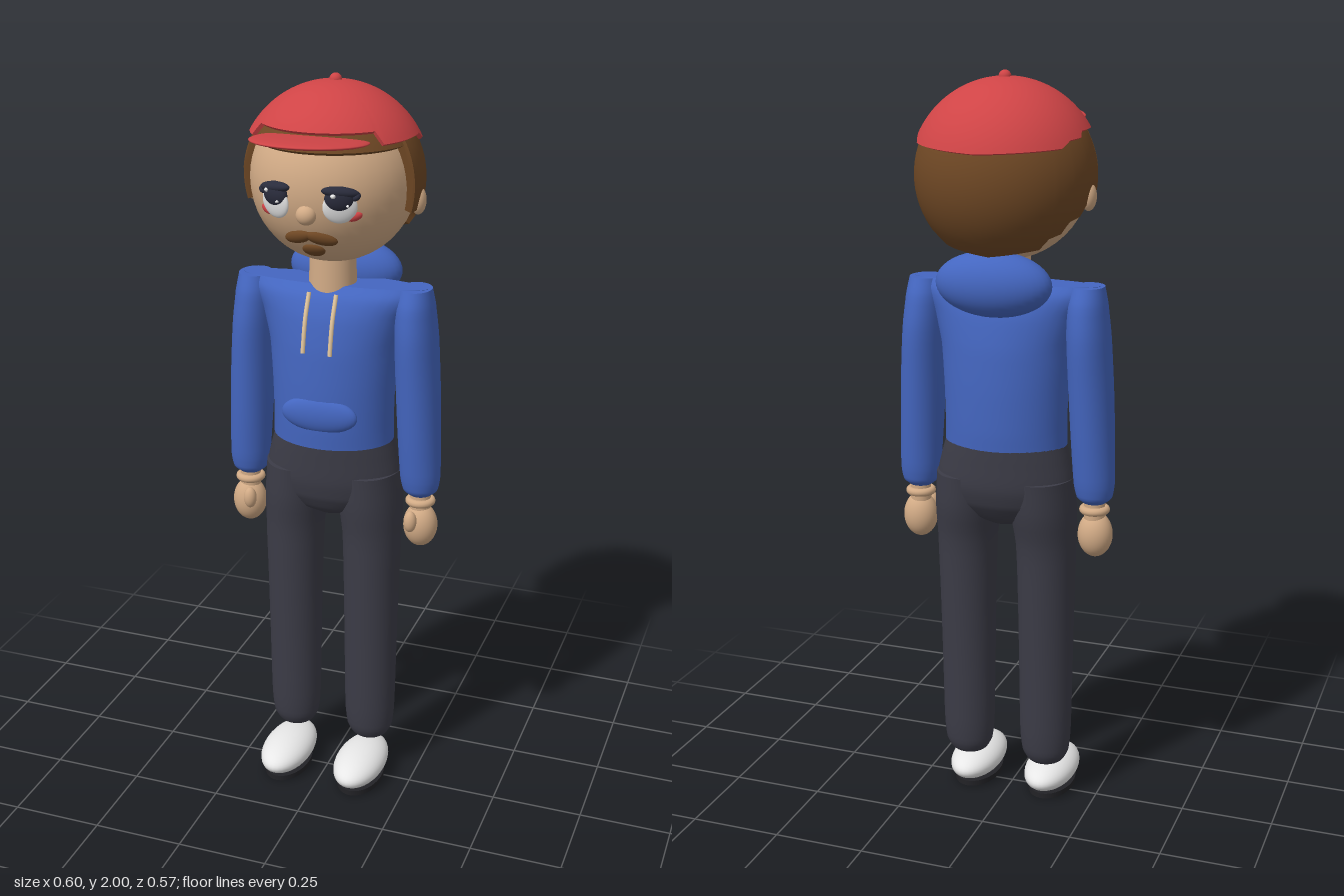
import * as THREE from 'three';
import { toCreasedNormals } from 'three/addons/utils/BufferGeometryUtils.js';

const HEAD = new THREE.Vector3(0, 1.74, -0.05);
const SKIN_R = 0.215;

function paint(name, color) {
  const m = new THREE.MeshStandardMaterial({ color });
  m.name = name;
  return m;
}

// Surface from a grid; v runs downwards, u runs anticlockwise seen from above
function grid(rows, cols, point, crease = 0.7) {
  const pos = [], index = [];
  for (let i = 0; i <= rows; i++) {
    for (let j = 0; j <= cols; j++) pos.push(...point(i, (j / cols) * Math.PI * 2));
  }
  for (let i = 0; i < rows; i++) {
    for (let j = 0; j < cols; j++) {
      const a = i * (cols + 1) + j, b = a + cols + 1;
      index.push(a, b, b + 1, a, b + 1, a + 1);
    }
  }
  const g = new THREE.BufferGeometry();
  g.setAttribute('position', new THREE.Float32BufferAttribute(pos, 3));
  g.setIndex(index);
  // Enlarged while creasing so that close vertices stay apart
  g.scale(100, 100, 100);
  return toCreasedNormals(g, crease).scale(0.01, 0.01, 0.01);
}

// Closed body through oval sections [y, cx, cz, rx, rz], listed top to bottom
function loft(sections, side = 1, steps = 28) {
  const centres = new THREE.CatmullRomCurve3(sections.map(([y, x, z]) => new THREE.Vector3(x * side, y, z)));
  const radii = new THREE.CatmullRomCurve3(sections.map((s) => new THREE.Vector3(s[3], 0, s[4])));
  return grid(steps + 2, 40, (i, a) => {
    const t = THREE.MathUtils.clamp((i - 1) / steps, 0, 1);
    const c = centres.getPoint(t), r = radii.getPoint(t);
    const k = i === 0 || i === steps + 2 ? 0 : 1;
    return [c.x + Math.sin(a) * r.x * k, c.y, c.z + Math.cos(a) * r.z * k];
  });
}

// Dome around the head whose lower edge follows [degrees from front, height]
function dome(radius, edge) {
  const height = (deg) => {
    let k = 1;
    while (k < edge.length - 1 && edge[k][0] < deg) k++;
    const [d0, y0] = edge[k - 1], [d1, y1] = edge[k];
    return THREE.MathUtils.mapLinear(deg, d0, d1, y0, y1);
  };
  const rows = 24;
  return grid(rows + 1, 180, (i, a) => {
    const deg = THREE.MathUtils.radToDeg(a > Math.PI ? Math.PI * 2 - a : a);
    const end = Math.acos((height(deg) - HEAD.y) / radius);
    const t = end * Math.min(i / rows, 1);
    const r = i > rows ? SKIN_R - 0.005 : radius;
    return [
      HEAD.x + r * Math.sin(t) * Math.sin(a),
      HEAD.y + r * Math.cos(t),
      HEAD.z + r * Math.sin(t) * Math.cos(a),
    ];
  });
}

export function createModel() {
  const model = new THREE.Group();
  model.name = 'figure';
  const skin = paint('skin', 0xd2ab86);
  const hair = paint('hair brown', 0x6e4724);
  const red = paint('cap red', 0xcf4446);
  const blue = paint('hoodie blue', 0x4466c0);
  const dark = paint('trouser charcoal', 0x3c3c47);
  const white = paint('white', 0xe8e8e8);
  const black = paint('sole black', 0x222226);
  const iris = paint('eye navy', 0x2a2c3c);
  const cord = paint('cord tan', 0xe0c49c);

  const add = (name, geometry, material) => {
    const mesh = new THREE.Mesh(geometry, material);
    mesh.name = name;
    model.add(mesh);
    return mesh;
  };
  const ball = (name, material, centre, size) => {
    const mesh = add(name, new THREE.SphereGeometry(1, 36, 24), material);
    mesh.position.set(...centre);
    mesh.scale.set(...size);
    return mesh;
  };
  // Flattened oval lying on the face
  const onFace = (name, material, x, y, rx, ry, depth, roll = 0) => {
    const z = HEAD.z + Math.sqrt(SKIN_R ** 2 - x * x - (y - HEAD.y) ** 2);
    const mesh = ball(name, material, [x, y, z], [rx, ry, depth]);
    mesh.lookAt(mesh.position.clone().multiplyScalar(2).sub(HEAD));
    mesh.rotateZ(roll);
  };

  // Head and hair
  ball('head', skin, HEAD.toArray(), [SKIN_R, SKIN_R, SKIN_R]);
  add('hair', dome(0.234, [[0, 1.845], [75, 1.845], [77, 1.675], [99, 1.675], [101, 1.65],
    [113, 1.64], [116, 1.61], [126, 1.6], [130, 1.57], [180, 1.55]]), hair);
  ball('nose', skin, [0, 1.69, 0.158], [0.026, 0.025, 0.022]);

  // Cap
  add('capCrown', dome(0.245, [[0, 1.89], [50, 1.89], [54, 1.86], [100, 1.86],
    [104, 1.845], [116, 1.842], [124, 1.825], [180, 1.815]]), red);
  ball('capButton', red, [0, 1.984, -0.058], [0.016, 0.016, 0.016]);
  const brim = ball('capBrim', red, [0, 1.868, 0.132], [0.148, 0.013, 0.15]);
  brim.rotation.x = -0.09;

  // Face and ears
  for (const s of [1, -1]) {
    ball('ear', skin, [s * 0.222, 1.695, -0.058], [0.02, 0.036, 0.025]);
    onFace('eyeWhite', white, s * 0.084, 1.715, 0.043, 0.042, 0.012);
    onFace('iris', iris, s * 0.083, 1.735, 0.037, 0.032, 0.018);
    onFace('upperLash', iris, s * 0.085, 1.752, 0.047, 0.014, 0.018, -s * 0.1);
    onFace('lashTip', iris, s * 0.118, 1.74, 0.014, 0.01, 0.016, s * 0.5);
    onFace('eyeGlint', white, s * 0.083 - 0.014, 1.745, 0.009, 0.009, 0.022);
    onFace('eyeGlintSmall', white, s * 0.083 + 0.016, 1.722, 0.005, 0.005, 0.022);
    onFace('cheek', red, s * 0.115, 1.688, 0.02, 0.011, 0.008, s * 0.3);
    onFace('moustacheHalf', hair, s * 0.031, 1.627, 0.041, 0.018, 0.014, -s * 0.28);
  }
  onFace('chinTuft', hair, 0, 1.588, 0.03, 0.023, 0.012);

  // Neck, hoodie and hood
  const neck = add('neck', new THREE.CylinderGeometry(0.06, 0.064, 0.14, 32), skin);
  neck.position.set(0, 1.49, -0.04);
  add('hoodieBody', loft([
    [1.468, 0, -0.05, 0.255, 0.055], [1.44, 0, -0.05, 0.235, 0.085], [1.39, 0, -0.05, 0.2, 0.108],
    [1.3, 0, -0.05, 0.175, 0.124], [1.18, 0, -0.05, 0.167, 0.13], [1.09, 0, -0.05, 0.165, 0.13],
    [1.035, 0, -0.05, 0.166, 0.127],
  ]), blue);
  ball('hood', blue, [0, 1.475, -0.147], [0.155, 0.085, 0.075]);
  ball('pocket', blue, [0, 1.13, 0.066], [0.105, 0.05, 0.025]);

  // Trouser hips
  add('hips', loft([
    [1.047, 0, -0.053, 0.162, 0.124], [1.0, 0, -0.054, 0.176, 0.124], [0.93, 0, -0.055, 0.19, 0.122],
    [0.88, 0, -0.053, 0.18, 0.11], [0.84, 0, -0.05, 0.13, 0.085], [0.815, 0, -0.05, 0.05, 0.05],
  ]), dark);

  for (const s of [1, -1]) {
    // Drawstring
    const path = new THREE.CatmullRomCurve3([
      new THREE.Vector3(s * 0.037, 1.455, 0.04), new THREE.Vector3(s * 0.037, 1.39, 0.07),
      new THREE.Vector3(s * 0.037, 1.305, 0.09),
    ]);
    add('drawstring', new THREE.TubeGeometry(path, 12, 0.006, 8), cord);

    // Sleeve and hand
    add('sleeve', loft([
      [1.467, 0.222, -0.052, 0.043, 0.052], [1.42, 0.222, -0.053, 0.051, 0.072],
      [1.33, 0.227, -0.054, 0.056, 0.082], [1.2, 0.234, -0.053, 0.058, 0.075],
      [1.05, 0.241, -0.052, 0.057, 0.065], [0.94, 0.246, -0.052, 0.054, 0.055],
      [0.905, 0.247, -0.052, 0.047, 0.047], [0.89, 0.247, -0.052, 0.03, 0.03],
    ], s), blue);
    const wrist = add('wrist', new THREE.CylinderGeometry(0.028, 0.028, 0.08, 24), skin);
    wrist.position.set(s * 0.248, 0.87, -0.052);
    const cuff = add('cuff', new THREE.TorusGeometry(0.03, 0.011, 12, 32), skin);
    cuff.rotation.x = Math.PI / 2;
    cuff.position.set(s * 0.248, 0.87, -0.052);
    ball('hand', skin, [s * 0.25, 0.8, -0.05], [0.047, 0.062, 0.044]);
    ball('thumb', skin, [s * 0.233, 0.822, -0.008], [0.018, 0.03, 0.018]);

    // Trouser leg
    add('trouserLeg', loft([
      [0.95, 0.1, -0.055, 0.088, 0.11], [0.86, 0.106, -0.053, 0.088, 0.105],
      [0.76, 0.112, -0.048, 0.081, 0.088], [0.6, 0.113, -0.046, 0.077, 0.08],
      [0.4, 0.113, -0.045, 0.074, 0.072], [0.2, 0.113, -0.045, 0.071, 0.066],
      [0.145, 0.113, -0.045, 0.065, 0.06], [0.115, 0.113, -0.045, 0.048, 0.045],
      [0.105, 0.113, -0.045, 0.02, 0.02],
    ], s), dark);

    // Shoe
    ball('shoe', white, [s * 0.111, 0.054, 0.025], [0.071, 0.046, 0.133]);
    const sole = add('sole', new THREE.CylinderGeometry(1, 1, 0.015, 40), black);
    sole.scale.set(0.063, 1, 0.103);
    sole.position.set(s * 0.111, 0.0075, 0.027);
  }
  return model;
}
